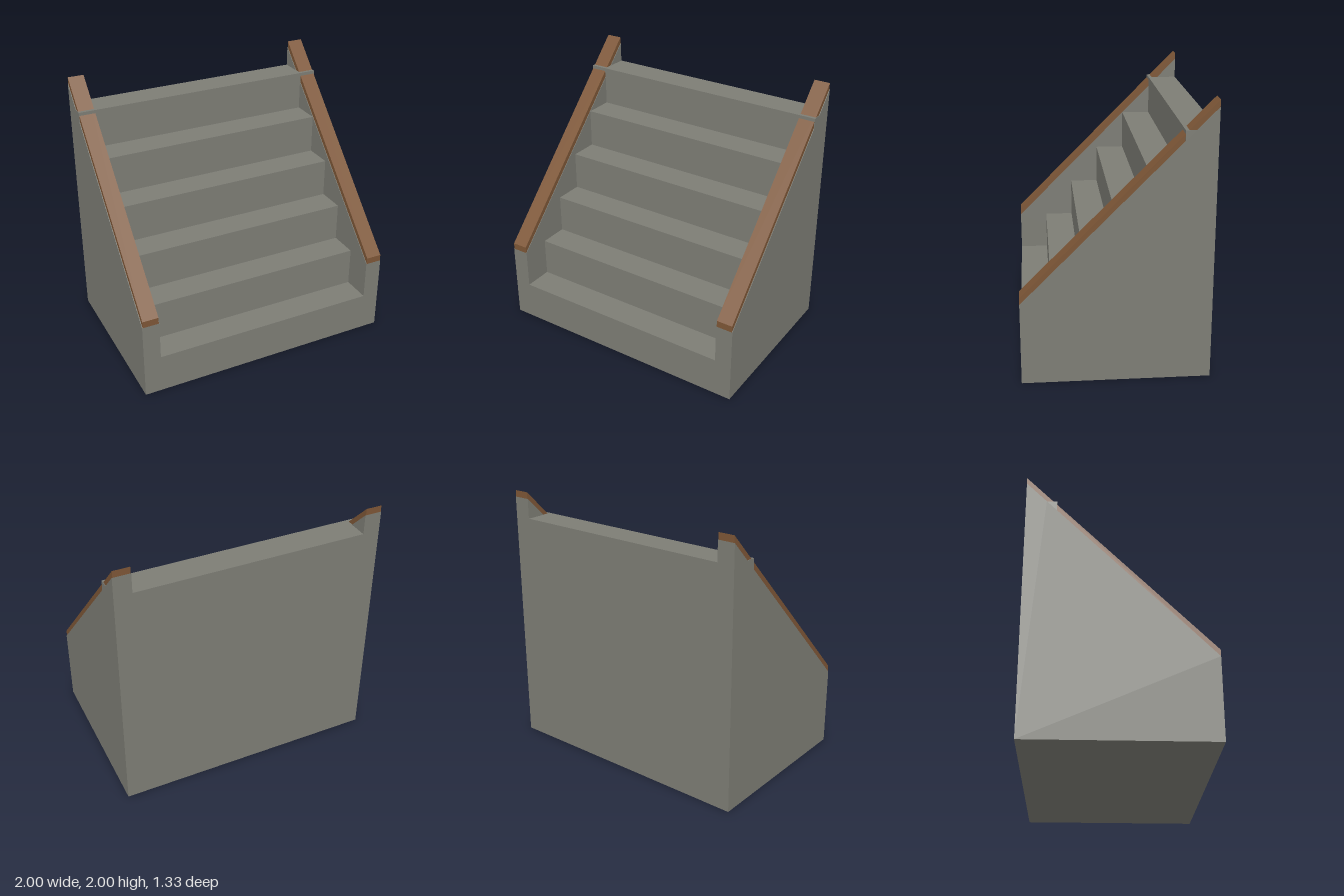
import * as THREE from 'three';

const STEPS = 6, RISE = 0.3, RUN = 0.2224;
const FRONT = 0.667, BACK = -0.667;
const INNER = 0.87, OUTER = 1;

// Height along the sloping top of the side walls
const SLOPE = 1.35 / (FRONT - BACK);
const wallTop = (z) => 0.6 + SLOPE * (FRONT - z);
const zAtHeight = (y) => FRONT - (y - 0.6) / SLOPE;

// Extrudes a [z, y] side profile across the model from x0 to x1
function profileMesh(name, points, x0, x1, material) {
  const shape = new THREE.Shape(points.map(([z, y]) => new THREE.Vector2(z, y)));
  const geometry = new THREE.ExtrudeGeometry(shape, { depth: x1 - x0, bevelEnabled: false });
  geometry.rotateY(-Math.PI / 2).translate(x1, 0, 0);
  const mesh = new THREE.Mesh(geometry, material);
  mesh.name = name;
  return mesh;
}

export function createModel() {
  const stone = new THREE.MeshStandardMaterial({ color: 0x7d7d75 });
  const wood = new THREE.MeshStandardMaterial({ color: 0x7d5636 });
  const model = new THREE.Group();
  model.name = 'staircase';

  // Solid flight of steps
  const stairs = [[BACK, 0], [FRONT, 0]];
  for (let i = 0; i < STEPS; i++) {
    const z = FRONT - i * RUN;
    if (i > 0) stairs.push([z, i * RISE]);
    stairs.push([z, (i + 1) * RISE]);
  }
  stairs.push([BACK, STEPS * RISE]);
  model.add(profileMesh('steps', stairs, -INNER, INNER, stone));

  // Side wall, with the end of the top step breaking through its slope
  const topY = STEPS * RISE;
  const nose = FRONT - (STEPS - 1) * RUN;
  const wall = [
    [BACK, 0], [FRONT, 0], [FRONT, wallTop(FRONT)], [nose, wallTop(nose)],
    [nose, topY], [zAtHeight(topY), topY], [BACK, wallTop(BACK)],
  ];

  // Wooden coping, set in slightly from the wall faces
  const coping = [
    [FRONT, wallTop(FRONT)], [FRONT, wallTop(FRONT) + 0.05],
    [BACK, wallTop(BACK) + 0.05], [BACK, wallTop(BACK)],
  ];
  const inset = 0.004;

  for (const [side, x0, x1] of [['left', INNER, OUTER], ['right', -OUTER, -INNER]]) {
    model.add(profileMesh(side + 'Wall', wall, x0, x1, stone));
    model.add(profileMesh(side + 'Coping', coping, x0 + inset, x1 - inset, wood));
  }
  return model;
}
